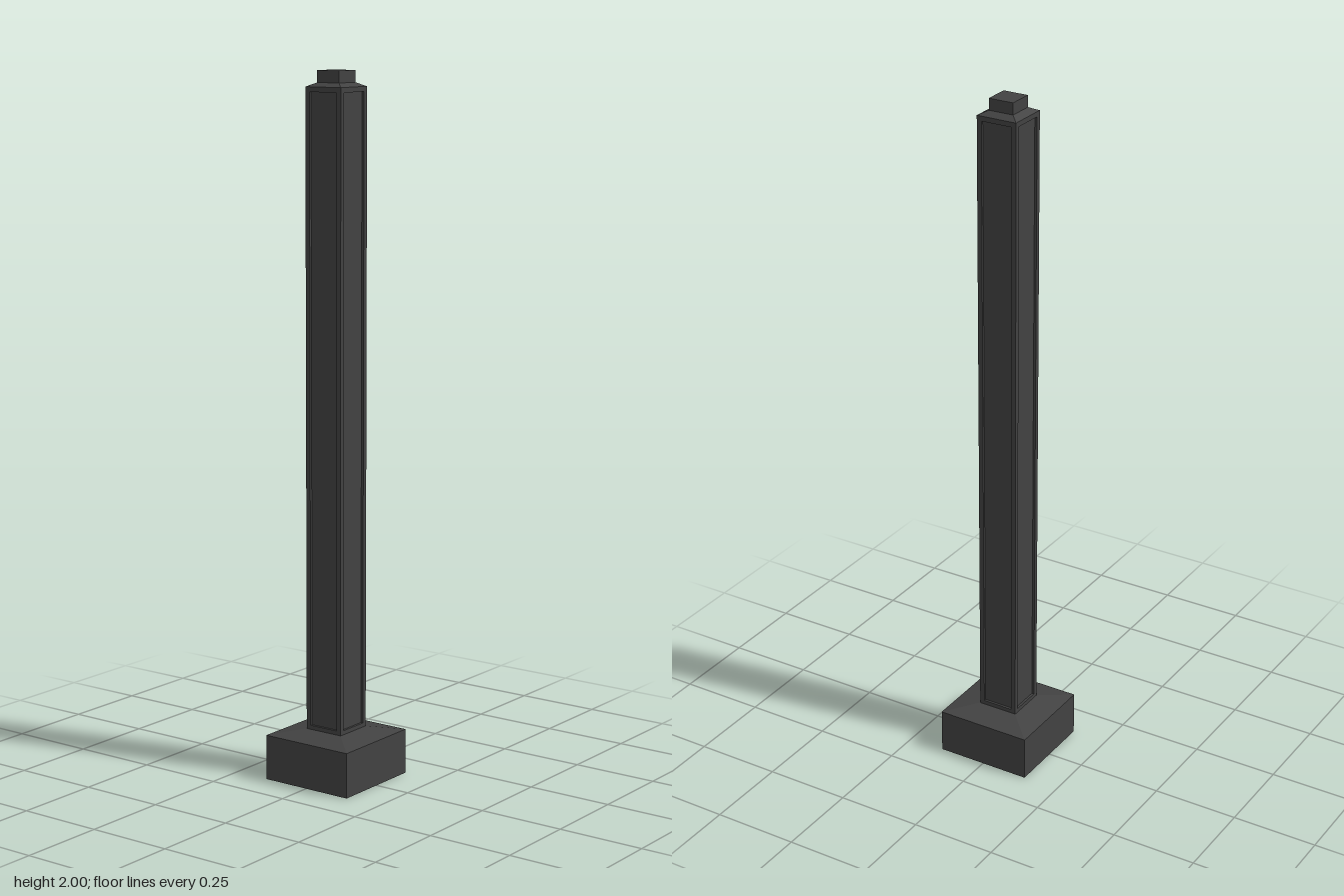
import * as THREE from 'three';

const darkMetal = new THREE.MeshStandardMaterial({ color: 0x424242, side: THREE.DoubleSide });
darkMetal.name = 'dark grey metal';

// Open four-sided tube; half widths at bottom and top
function squareTube(name, halfBottom, halfTop, y0, y1) {
  const r = Math.SQRT2;
  const geo = new THREE.CylinderGeometry(halfTop * r, halfBottom * r, y1 - y0, 4, 1, true)
    .rotateY(Math.PI / 4)
    .translate(0, (y0 + y1) / 2, 0)
    .toNonIndexed();
  geo.computeVertexNormals();
  const mesh = new THREE.Mesh(geo, darkMetal);
  mesh.name = name;
  return mesh;
}

function rectangle(Type, half, y0, y1) {
  const p = new Type();
  p.moveTo(-half, y0).lineTo(half, y0).lineTo(half, y1).lineTo(-half, y1).closePath();
  return p;
}

export function createModel() {
  const model = new THREE.Group();
  model.name = 'squarePost';

  const base = 0.142, shaft = 0.06, cap = 0.037, recess = 0.007;
  const yBase = 0.13, yShaft = 0.145, yShoulder = 1.956, yCap = 1.967;

  // Hollow foot with a shallow sloping top
  model.add(squareTube('footWalls', base, base, 0, yBase));
  model.add(squareTube('footSlope', base, shaft, yBase, yShaft));

  // Recessed panels on the four sides of the shaft
  model.add(squareTube('shaftPanels', shaft - recess, shaft - recess, yShaft, yShoulder));

  // Raised border around each panel
  const border = rectangle(THREE.Shape, shaft, yShaft, yShoulder);
  border.holes.push(rectangle(THREE.Path, shaft - 0.014, yShaft + 0.012, yShoulder - 0.014));
  const borderGeo = new THREE.ExtrudeGeometry(border, { depth: recess, bevelEnabled: false });
  borderGeo.translate(0, 0, shaft - recess);
  for (let i = 0; i < 4; i++) {
    const frame = new THREE.Mesh(borderGeo, darkMetal);
    frame.name = 'panelFrame' + (i + 1);
    frame.rotation.y = i * Math.PI / 2;
    model.add(frame);
  }

  // Shoulder, cap block and its flat top
  model.add(squareTube('shoulder', shaft, cap, yShoulder, yCap));
  model.add(squareTube('capWalls', cap, cap, yCap, 2));
  const top = new THREE.Mesh(new THREE.PlaneGeometry(cap * 2, cap * 2).rotateX(-Math.PI / 2), darkMetal);
  top.name = 'capTop';
  top.position.y = 2;
  model.add(top);

  return model;
}
